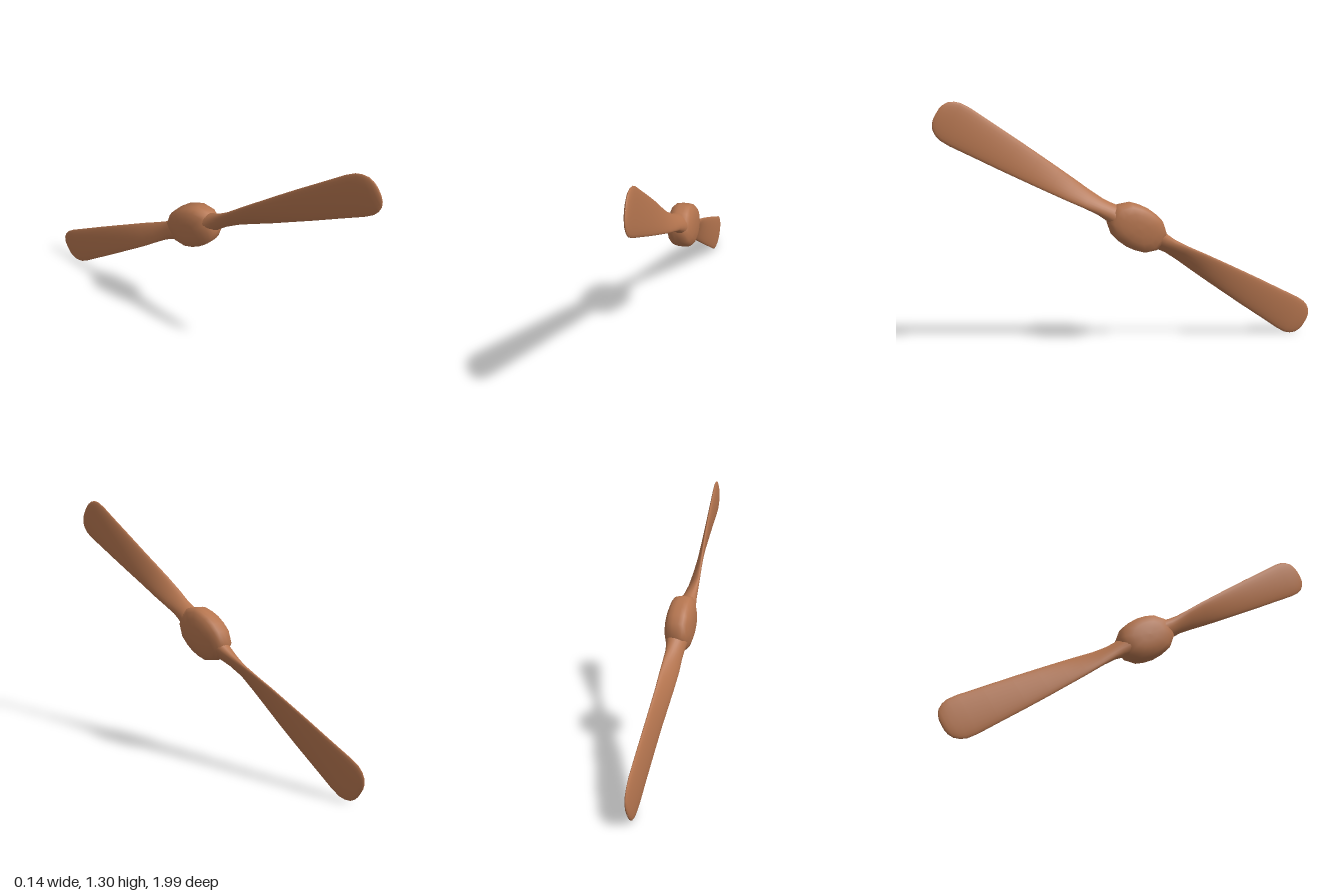
import * as THREE from 'three';

// Skin a list of closed rings (arrays of [x, y, z]) with smooth normals.
function loft(rings) {
  const n = rings[0].length, index = [];
  for (let i = 0; i < rings.length - 1; i++) {
    for (let j = 0; j < n; j++) {
      const a = i * n + j, b = i * n + (j + 1) % n;
      index.push(a, b, b + n, a, b + n, a + n);
    }
  }
  const geometry = new THREE.BufferGeometry();
  geometry.setAttribute('position', new THREE.Float32BufferAttribute(rings.flat(2), 3));
  geometry.setIndex(index);
  geometry.computeVertexNormals();
  return geometry;
}

// Blade stations along the span: [distance, half chord, half thickness, twist in degrees, x offset]
const STATIONS = [
  [0.06, 0.075, 0.058, 45, 0], [0.12, 0.06, 0.048, 45, -0.002], [0.17, 0.052, 0.038, 44, -0.005],
  [0.22, 0.05, 0.029, 42, -0.008], [0.30, 0.056, 0.019, 36, -0.01], [0.40, 0.063, 0.016, 26, -0.009],
  [0.50, 0.069, 0.015, 18, -0.008], [0.62, 0.077, 0.014, 12, -0.005], [0.75, 0.086, 0.014, 8, -0.003],
  [0.90, 0.095, 0.014, 5, -0.001], [1.02, 0.103, 0.014, 3, 0], [1.07, 0.101, 0.013, 2, 0],
  [1.10, 0.091, 0.012, 2, 0], [1.125, 0.073, 0.01, 2, 0], [1.139, 0.05, 0.007, 2, 0],
  [1.145, 0.028, 0.003, 2, 0], [1.146, 0.0005, 0.0005, 2, 0],
];

function bladeGeometry() {
  const sides = 24;
  return loft(STATIONS.map(([s, chord, thick, twist, offset]) => {
    const a = THREE.MathUtils.degToRad(twist);
    return Array.from({ length: sides }, (_, j) => {
      const t = (j / sides) * Math.PI * 2;
      const x = Math.cos(t) * thick, y = Math.sin(t) * chord;
      return [x * Math.cos(a) - y * Math.sin(a) + offset, x * Math.sin(a) + y * Math.cos(a), s];
    });
  }));
}

// Elongated, blunt-ended hub: one [y, z] outline scaled along the shaft axis
function hubGeometry() {
  const quarter = [[0.112, 0], [0.107, 0.05], [0.094, 0.1], [0.05, 0.152]];
  const half = [...quarter, [0, 0.157], ...quarter.slice(1).reverse().map(([y, z]) => [-y, z])];
  const outline = [...half, ...half.map(([y, z]) => [-y, -z])];
  const layers = [
    [-0.07, 0.001], [-0.069, 0.3], [-0.065, 0.58], [-0.054, 0.82], [-0.038, 0.96], [-0.015, 1],
    [0.015, 1], [0.038, 0.97], [0.053, 0.84], [0.064, 0.6], [0.068, 0.3], [0.069, 0.001],
  ];
  return loft(layers.map(([x, k]) => outline.map(([y, z]) => [x, y * k, z * k])));
}

export function createModel() {
  const wood = new THREE.MeshStandardMaterial({ color: 0xb5754f });
  wood.name = 'wood';

  const propeller = new THREE.Group();
  propeller.name = 'propeller';

  const hub = new THREE.Mesh(hubGeometry(), wood);
  hub.name = 'hub';
  propeller.add(hub);

  // Two identical blades, half a turn apart
  const geometry = bladeGeometry();
  ['upperBlade', 'lowerBlade'].forEach((name, i) => {
    const blade = new THREE.Mesh(geometry, wood);
    blade.name = name;
    blade.rotation.x = i * Math.PI;
    propeller.add(blade);
  });

  // Tilt the span up towards the front
  propeller.rotation.x = THREE.MathUtils.degToRad(-31.5);
  propeller.position.y = 0.647;

  const model = new THREE.Group();
  model.name = 'model';
  model.add(propeller);
  return model;
}
